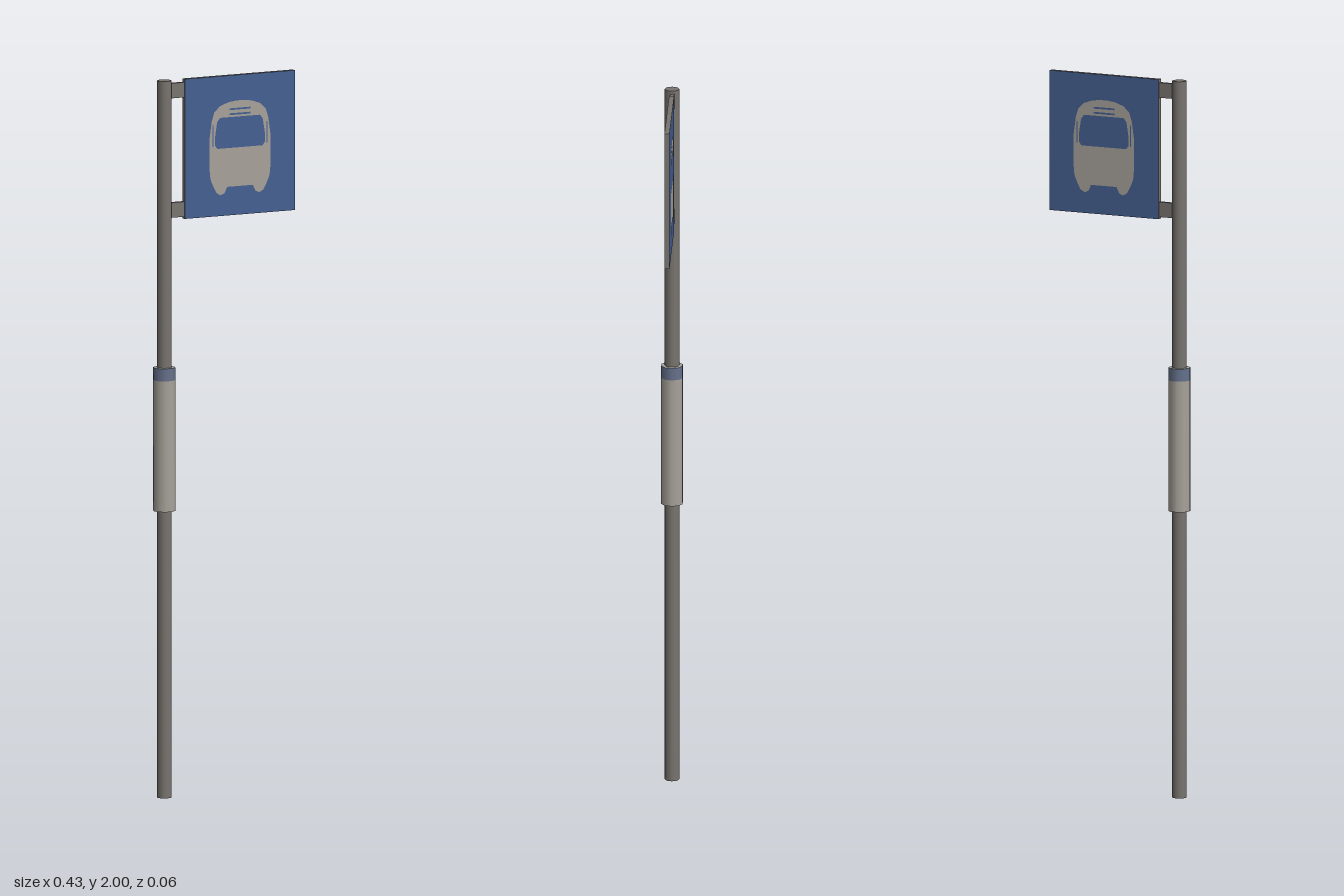
import * as THREE from 'three';

const mat = (name, color) => {
  const m = new THREE.MeshStandardMaterial({ color });
  m.name = name;
  return m;
};

// Closed outline, mirrored about x = 0 from its right half (listed bottom to top)
const mirrored = (half, Type) =>
  new Type([...half, ...half.map(([x, y]) => [-x, y]).reverse()].map(([x, y]) => new THREE.Vector2(x, y)));

const rectHole = (x, y, w, h) => new THREE.Path([
  new THREE.Vector2(x - w / 2, y - h / 2), new THREE.Vector2(x - w / 2, y + h / 2),
  new THREE.Vector2(x + w / 2, y + h / 2), new THREE.Vector2(x + w / 2, y - h / 2)]);

// Front of a bus, centred on the sign
function busShape() {
  const shape = mirrored([
    [0.04, -0.115], [0.048, -0.132], [0.06, -0.137], [0.073, -0.13], [0.084, -0.11], [0.092, -0.09],
    [0.095, -0.06], [0.095, 0.02], [0.088, 0.07], [0.08, 0.095], [0.062, 0.112], [0.035, 0.121], [0.01, 0.124],
  ], THREE.Shape);
  // Windscreen
  shape.holes.push(mirrored([
    [0.07, -0.007], [0.077, 0.002], [0.077, 0.03], [0.071, 0.068], [0.062, 0.079],
  ], THREE.Path));
  // Destination panel slits
  for (const y of [0.087, 0.101]) shape.holes.push(rectHole(0, y, 0.066, 0.005));
  // Gaps between pillars and mirrors
  for (const s of [-1, 1]) shape.holes.push(rectHole(s * 0.084, 0.03, 0.004, 0.06));
  return shape;
}

export function createModel() {
  const group = new THREE.Group();
  const steel = mat('darkSteel', 0x79746f);
  const pale = mat('paleGrey', 0xa8a39b);
  const blue = mat('signBlue', 0x456093);
  const band = mat('bandBlue', 0x66728c);

  const add = (name, geometry, material, x, y, z, parent = group) => {
    const mesh = new THREE.Mesh(geometry, material);
    mesh.name = name;
    mesh.position.set(x, y, z);
    parent.add(mesh);
    return mesh;
  };
  const poleX = -0.186;
  const tube = (r, h, sides) => new THREE.CylinderGeometry(r, r, h, sides).rotateY(-Math.PI / 2);

  // Pole with timetable sleeve and coloured band
  add('pole', tube(0.02, 2, 12), steel, poleX, 1, 0);
  add('sleeve', tube(0.031, 0.365, 10), pale, poleX, 0.9825, 0);
  add('sleeveBand', tube(0.031, 0.035, 10), [band, pale, band], poleX, 1.1825, 0);

  // Brackets
  for (const y of [1.97, 1.637])
    add('bracket', new THREE.BoxGeometry(0.06, 0.042, 0.011), steel, -0.15, y, -0.0015);

  // Sign panel: steel rim, blue faces, bus pictogram on both sides
  const sign = new THREE.Group();
  sign.name = 'sign';
  sign.position.set(0.046, 1.805, -0.0015);
  group.add(sign);
  add('signPanel', new THREE.BoxGeometry(0.342, 0.39, 0.014),
    [steel, steel, steel, steel, blue, blue], 0, 0, 0, sign);
  const bus = new THREE.ShapeGeometry(busShape());
  for (const s of [1, -1]) {
    const icon = add(s > 0 ? 'busIconFront' : 'busIconBack', bus, pale, 0, 0, s * 0.008, sign);
    if (s < 0) icon.rotation.y = Math.PI;
  }
  return group;
}
